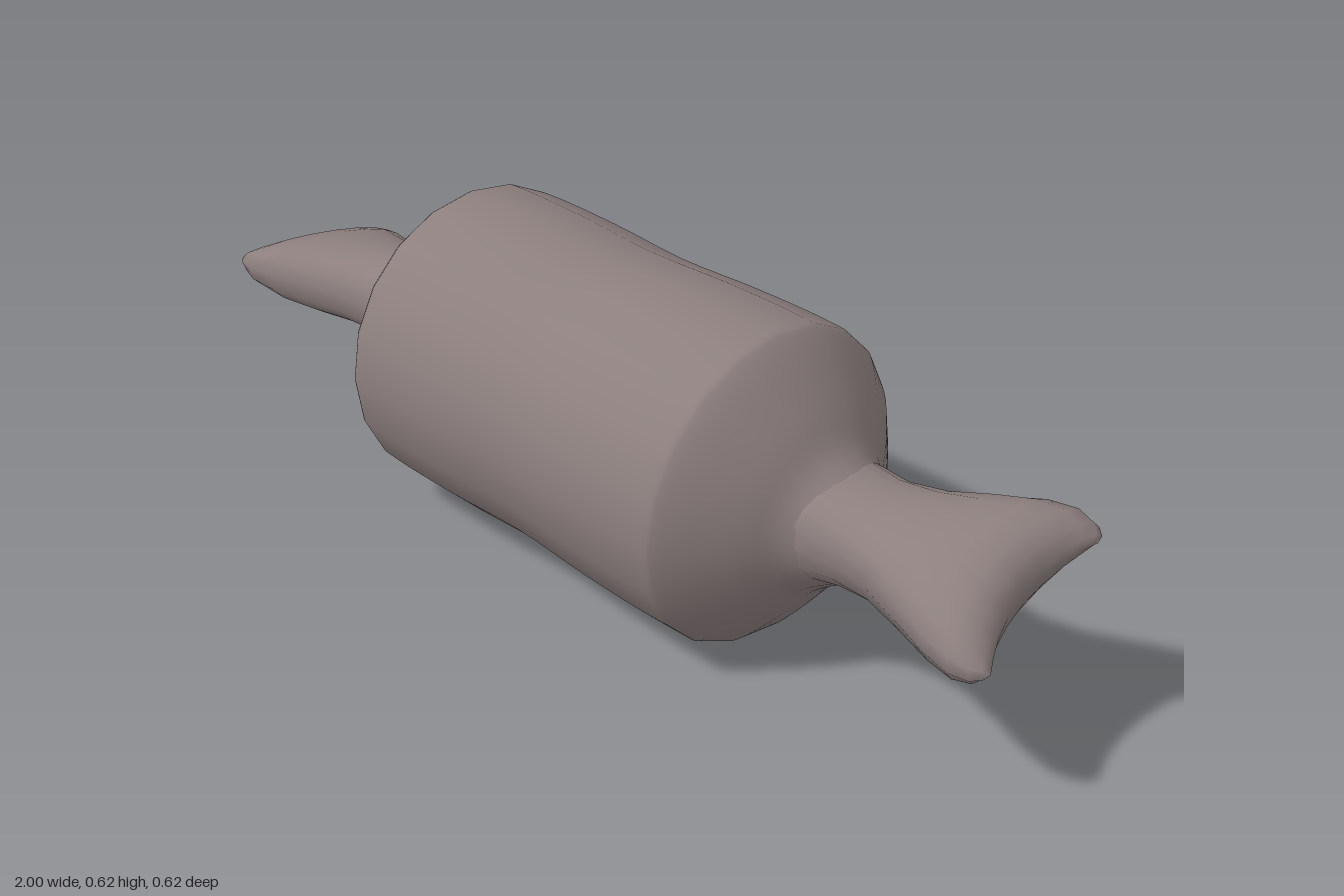
import * as THREE from 'three';
import { mergeVertices } from 'three/addons/utils/BufferGeometryUtils.js';

const AXIS_Y = 0.31;
const SIDES = 20;

// Cross-sections of a twisted end: distance along x, half width, half thickness, lobe reach
const SECTIONS = [
  [0.50, 0.125, 0.115, 0],
  [0.56, 0.122, 0.105, 0],
  [0.64, 0.112, 0.09, 0],
  [0.72, 0.122, 0.085, 0],
  [0.80, 0.152, 0.085, 0.005],
  [0.86, 0.178, 0.082, 0.018],
  [0.905, 0.19, 0.07, 0.03],
  [0.93, 0.184, 0.048, 0.04],
  [0.942, 0.17, 0.024, 0.044],
  [0.945, 0.155, 0, 0.045],
];

// Fish-tail shaped end, flattened, notched and turned by `tilt` towards its tip
function endGeometry(side, tilt, tipY) {
  const pos = [], index = [];
  SECTIONS.forEach(([x, width, thick, reach]) => {
    const t = THREE.MathUtils.smoothstep(x, 0.5, 0.9);
    const angle = tilt * t;
    const cy = THREE.MathUtils.lerp(AXIS_Y + 0.005, tipY, t);
    for (let j = 0; j < SIDES; j++) {
      const a = (j / SIDES) * Math.PI * 2;
      const c = Math.cos(a), s = Math.sin(a);
      const w = width * c - 0.008 * t;
      const h = thick * Math.sign(s) * Math.abs(s) ** 0.8;
      pos.push(
        side * (x + reach * (c * c + 0.25 * c)),
        cy - w * Math.sin(angle) + h * Math.cos(angle),
        w * Math.cos(angle) + h * Math.sin(angle)
      );
    }
  });
  for (let i = 0; i < SECTIONS.length - 1; i++) {
    for (let j = 0; j < SIDES; j++) {
      const a = i * SIDES + j, b = i * SIDES + (j + 1) % SIDES;
      const c = a + SIDES, d = b + SIDES;
      if (side > 0) index.push(a, c, b, b, c, d);
      else index.push(a, b, c, b, d, c);
    }
  }
  const geometry = new THREE.BufferGeometry();
  geometry.setAttribute('position', new THREE.Float32BufferAttribute(pos, 3));
  geometry.setIndex(index);
  // Weld the closing edge so that the tip shades smoothly
  const welded = mergeVertices(geometry, 1e-4);
  welded.computeVertexNormals();
  return welded;
}

export function createModel() {
  const group = new THREE.Group();
  group.name = 'wrappedSweet';
  const material = new THREE.MeshStandardMaterial({ color: 0x8c7f7e });

  const add = (name, geometry) => {
    const mesh = new THREE.Mesh(geometry, material);
    mesh.name = name;
    group.add(mesh);
    return mesh;
  };

  // Barrel-shaped body with a slight waist and sloping shoulders
  const half = [[0.19, 0.308], [0.37, 0.308], [0.42, 0.294], [0.50, 0.205], [0.55, 0.137], [0.61, 0.095]];
  const profile = [
    ...half.map(([x, r]) => new THREE.Vector2(r, -x)).reverse(),
    new THREE.Vector2(0.301, 0),
    ...half.map(([x, r]) => new THREE.Vector2(r, x)),
  ];
  const points = new THREE.SplineCurve(profile).getPoints(48);
  const body = add('body', new THREE.LatheGeometry(points, SIDES));
  body.rotation.z = -Math.PI / 2;
  body.position.y = AXIS_Y;

  // Twisted wrapper ends
  add('leftTwist', endGeometry(1, THREE.MathUtils.degToRad(19), 0.348));
  add('rightTwist', endGeometry(-1, THREE.MathUtils.degToRad(-10), 0.285));

  return group;
}
